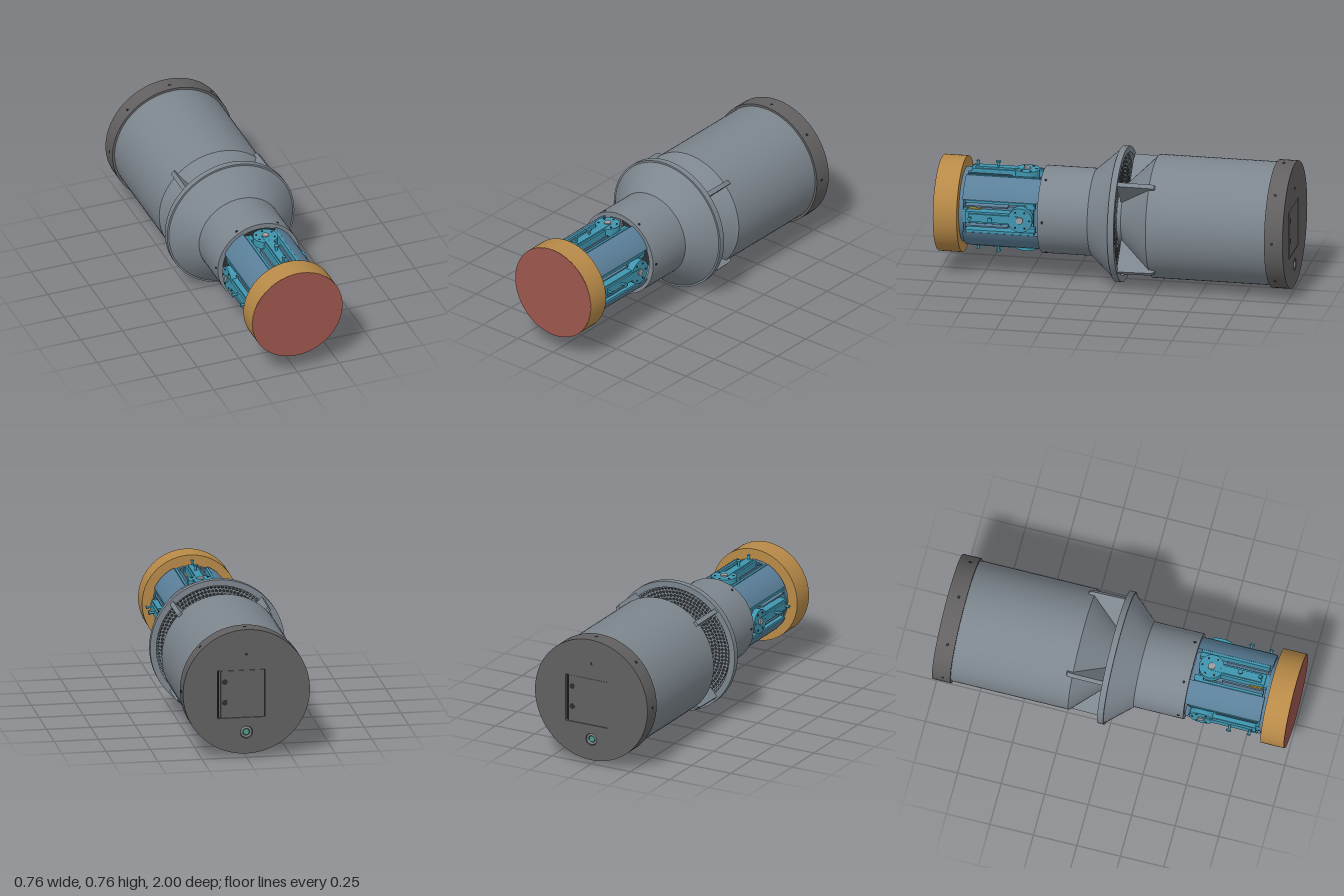
import * as THREE from 'three';
import { toCreasedNormals } from 'three/addons/utils/BufferGeometryUtils.js';

const GREY = 0x7d868e, DARK = 0x626061, BLUE = 0x5b809a, TEAL = 0x3f96b0;
const GOLD = 0xb88a48, RED = 0x9c564c, BLACK = 0x2c2e31, YELLOW = 0xb89a3a, GREEN = 0x4f9a86;

function add(parent, name, geometry, color, x = 0, y = 0, z = 0, side = THREE.FrontSide) {
  const mesh = new THREE.Mesh(geometry, new THREE.MeshStandardMaterial({ color, side }));
  mesh.name = name;
  mesh.position.set(x, y, z);
  parent.add(mesh);
  return mesh;
}

// Solid of revolution about z from [radius, z] pairs
function turned(points, segments = 72) {
  const g = new THREE.LatheGeometry(points.map(([r, z]) => new THREE.Vector2(r, z)), segments);
  return toCreasedNormals(g.rotateX(Math.PI / 2), 0.45);
}

const disc = (r, z0, z1) => turned([[0, z0], [r, z0], [r, z1], [0, z1]]);
const box = (w, h, d) => new THREE.BoxGeometry(w, h, d);
const post = (r, h, n = 16) => new THREE.CylinderGeometry(r, r, h, n);

function extrude(shape, depth, curveSegments = 16) {
  const g = new THREE.ExtrudeGeometry(shape, { depth, bevelEnabled: false, curveSegments });
  return toCreasedNormals(g, 0.45);
}

function circleHole(x, y, r) {
  return new THREE.Path().absarc(x, y, r, 0, Math.PI * 2, true);
}

// Copies of a part spaced evenly around the axis; the part is built pointing up (+y)
function around(parent, name, count, offset, build) {
  for (let i = 0; i < count; i++) {
    const g = new THREE.Group();
    g.name = name;
    g.rotation.z = offset + (i * Math.PI * 2) / count;
    build(g);
    parent.add(g);
  }
}

// Round body with four deep lengthwise slots
function slottedSection() {
  const s = new THREE.Shape();
  const R = 0.225, half = 0.095, floor = 0.14, a = Math.asin(half / R);
  for (let k = 0; k < 4; k++) {
    const t = (k * Math.PI) / 2, c = Math.cos(t), n = Math.sin(t);
    const at = (u, v) => [u * c - v * n, u * n + v * c];
    if (k === 0) s.moveTo(...at(floor, -half));
    else s.lineTo(...at(floor, -half));
    s.lineTo(...at(floor, half));
    s.absarc(0, 0, R, t + a, t + Math.PI / 2 - a, false);
  }
  s.closePath();
  return s;
}

// Folding arm with its pivot wheel, rails and bolts, lying in a slot
function arm(g) {
  add(g, 'armBeam', box(0.066, 0.055, 0.32), TEAL, 0, 0.195, 0.665);
  add(g, 'armTopPlate', box(0.045, 0.012, 0.29), TEAL, 0, 0.227, 0.66);
  add(g, 'armBase', box(0.11, 0.03, 0.37), BLUE, 0, 0.15, 0.635);
  add(g, 'armMotor', box(0.08, 0.03, 0.07), YELLOW, 0, 0.165, 0.78);
  add(g, 'pivotWheel', post(0.07, 0.045, 32), TEAL, 0, 0.208, 0.515);
  add(g, 'pivotHub', post(0.02, 0.012), 0x9a9ea2, 0, 0.233, 0.515);
  for (let i = 0; i < 6; i++) {
    const t = (i * Math.PI) / 3 + Math.PI / 6;
    add(g, 'pivotScrew', post(0.006, 0.004, 8), BLACK, 0.052 * Math.cos(t), 0.231, 0.515 + 0.052 * Math.sin(t));
  }
  for (const s of [-1, 1]) {
    add(g, 'slotRail', box(0.014, 0.07, 0.39), TEAL, s * 0.086, 0.172, 0.635);
    add(g, 'innerRail', box(0.008, 0.05, 0.24), BLUE, s * 0.058, 0.18, 0.71);
    add(g, 'railBlock', box(0.03, 0.04, 0.05), TEAL, s * 0.07, 0.18, 0.46);
  }
  add(g, 'longBolt', post(0.007, 0.04, 12), TEAL, 0, 0.244, 0.68);
  add(g, 'longBoltHead', post(0.014, 0.008), TEAL, 0, 0.261, 0.68);
  add(g, 'shortBolt', post(0.007, 0.03, 12), TEAL, 0, 0.243, 0.795);
  add(g, 'shortBoltHead', post(0.01, 0.006), TEAL, 0, 0.257, 0.795);
  add(g, 'endBracket', box(0.08, 0.04, 0.02), TEAL, 0, 0.19, 0.83);
}

export function createModel() {
  const model = new THREE.Group();
  model.name = 'model';
  const body = new THREE.Group();
  body.name = 'body';
  body.position.y = 0.38;
  model.add(body);

  // Nose cap and its front face
  add(body, 'noseCap', disc(0.27, 0.865, 0.998), GOLD);
  add(body, 'noseFace', disc(0.269, 0.99, 1), RED);
  add(body, 'noseNeck', disc(0.21, 0.84, 0.87), BLUE);

  // Slotted section with four arms
  add(body, 'slottedSection', extrude(slottedSection(), 0.435), BLUE, 0, 0, 0.41);
  around(body, 'arm', 4, 0, arm);

  // Tube flaring into a hollow collar
  add(body, 'flaredCollar', turned([
    [0.345, -0.045], [0.38, -0.045], [0.38, -0.01], [0.37, -0.01], [0.245, 0.13], [0.245, 0.415],
    [0.215, 0.415], [0.215, 0.13], [0.345, -0.01], [0.345, -0.045],
  ]), GREY);
  around(body, 'tubeScrew', 6, Math.PI / 6, (g) => add(g, 'screw', post(0.008, 0.006, 10), BLACK, 0, 0.244, 0.387));

  // Perforated intake screen inside the collar
  const screen = new THREE.Shape().absarc(0, 0, 0.346, 0, Math.PI * 2, false);
  screen.holes.push(circleHole(0, 0, 0.15));
  for (let r = 0.185; r < 0.34; r += 0.021) {
    const n = Math.floor((Math.PI * 2 * r) / 0.021);
    for (let i = 0; i < n; i++) {
      const t = (i / n) * Math.PI * 2 + r * 40;
      const hole = new THREE.Path();
      for (let k = 0; k < 6; k++) {
        const a = (-k * Math.PI) / 3;
        const x = r * Math.cos(t) + 0.0075 * Math.cos(a), y = r * Math.sin(t) + 0.0075 * Math.sin(a);
        if (k) hole.lineTo(x, y);
        else hole.moveTo(x, y);
      }
      hole.closePath();
      screen.holes.push(hole);
    }
  }
  add(body, 'intakeScreen', new THREE.ShapeGeometry(screen, 48), GREY, 0, 0, -0.022, THREE.DoubleSide);
  add(body, 'intakeBacking', disc(0.325, -0.004, 0), BLACK);

  // Rear barrel with tapered front
  add(body, 'rearBarrel', turned([[0, -0.9], [0.345, -0.9], [0.345, -0.22], [0.17, -0.045], [0.17, -0.01], [0, -0.01]]), GREY);

  // Diagonal fins joining barrel and collar
  const fin = new THREE.Shape([
    [0.165, -0.04], [0.368, -0.04], [0.365, -0.235], [0.358, -0.25], [0.346, -0.255], [0.33, -0.245],
  ].map(([r, z]) => new THREE.Vector2(r, z)));
  const finGeometry = extrude(fin, 0.026).translate(0, 0, -0.013).rotateX(Math.PI / 2).rotateZ(Math.PI / 2);
  around(body, 'fin', 4, Math.PI / 4, (g) => add(g, 'finPlate', finGeometry, GREY));

  // End cap: rim, and back plate with hatch and socket openings
  add(body, 'endCapRim', turned([
    [0.34, -0.98], [0.358, -0.98], [0.358, -0.895], [0.34, -0.895], [0.34, -0.98],
  ]), DARK);
  const plate = new THREE.Shape().absarc(0, 0, 0.358, 0, Math.PI * 2, false);
  plate.holes.push(
    new THREE.Path([[-0.105, -0.15], [-0.105, 0.125], [0.165, 0.125], [0.165, -0.15]].map((p) => new THREE.Vector2(...p))),
    circleHole(0, -0.235, 0.035),
  );
  add(body, 'endCapPlate', extrude(plate, 0.022, 36), DARK, 0, 0, -1);
  add(body, 'endCapInner', disc(0.335, -0.98, -0.9), DARK);
  add(body, 'hatchCover', box(0.247, 0.271, 0.02), DARK, 0.021, -0.0125, -0.988);
  add(body, 'hatchHinge', post(0.005, 0.265, 10), BLACK, 0.157, -0.0125, -0.985);
  for (const y of [-0.06, 0.06]) {
    add(body, 'hatchLatch', post(0.016, 0.003, 20).rotateX(Math.PI / 2), BLACK, 0.122, y, -0.998);
  }
  add(body, 'socketRing', new THREE.TorusGeometry(0.026, 0.007, 8, 28), GREY, 0, -0.235, -0.992);
  add(body, 'socketCore', post(0.017, 0.015, 20).rotateX(Math.PI / 2), GREEN, 0, -0.235, -0.985);
  add(body, 'plateScrew', post(0.008, 0.004, 12).rotateX(Math.PI / 2), BLACK, 0, 0.215, -0.999);
  around(body, 'capScrew', 8, 0, (g) => add(g, 'screw', post(0.009, 0.006, 10), BLACK, 0, 0.3565, -0.938));

  return model;
}
